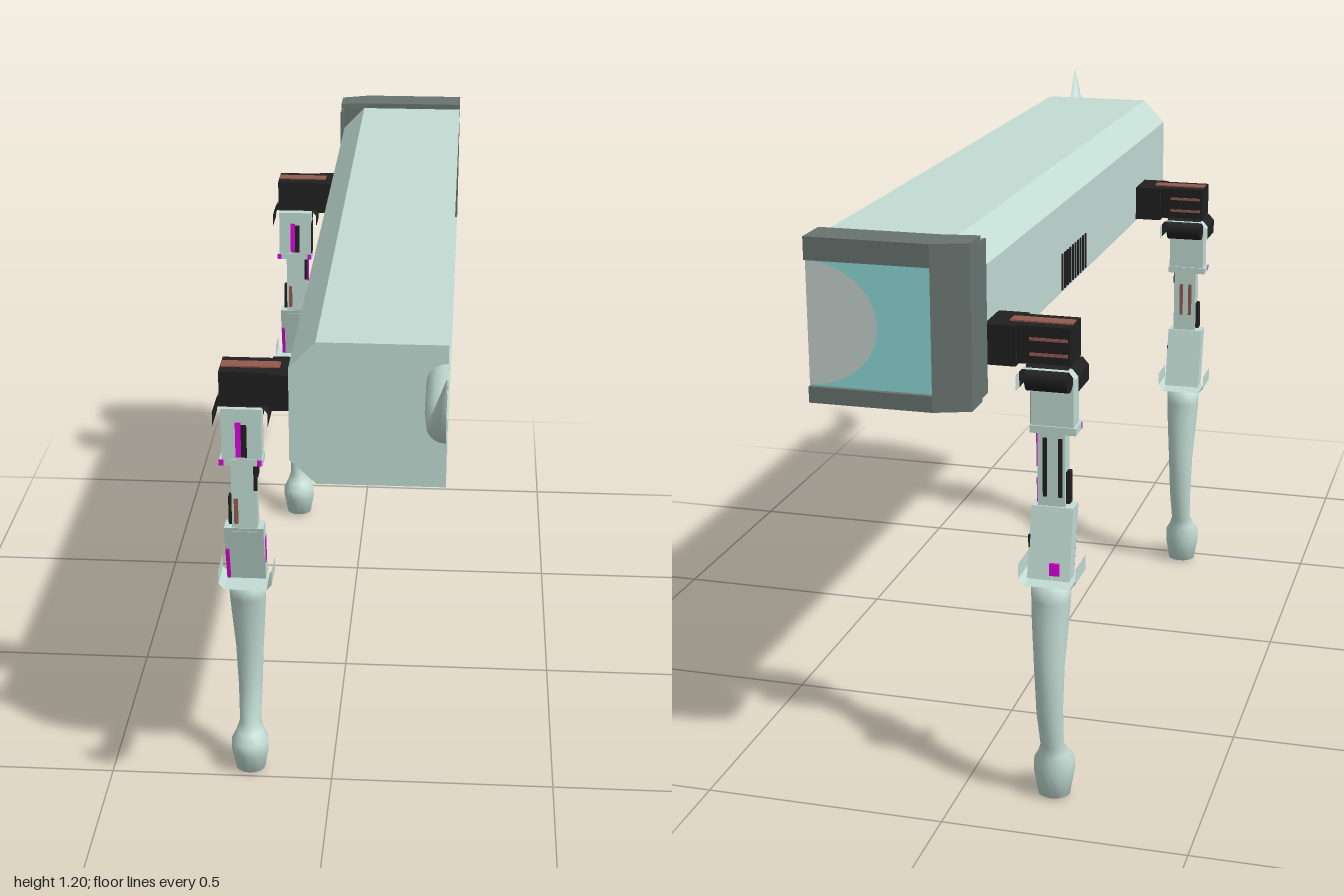
import * as THREE from 'three';

const mat = (name, color, side = THREE.FrontSide) => {
  const m = new THREE.MeshStandardMaterial({ color, side });
  m.name = name;
  return m;
};

export function createModel() {
  const paint = mat('pale green', 0xc2dcd4, THREE.DoubleSide);
  const dark = mat('dark grey', 0x68746f);
  const black = mat('black', 0x202020, THREE.DoubleSide);
  const copper = mat('copper', 0x955a4e);
  const magenta = mat('magenta', 0xe000e0);
  const teal = mat('teal', 0x8edcd9);
  const grey = mat('grey', 0xc8d4cf);

  const root = new THREE.Group();
  root.name = 'walkerHalf';

  const add = (parent, name, geo, material) => {
    const m = new THREE.Mesh(geo, material);
    m.name = name;
    parent.add(m);
    return m;
  };
  // Box given by its limits on each axis
  const box = (parent, name, material, x0, x1, y0, y1, z0, z1) => {
    const m = add(parent, name, new THREE.BoxGeometry(x1 - x0, y1 - y0, z1 - z0), material);
    m.position.set((x0 + x1) / 2, (y0 + y1) / 2, (z0 + z1) / 2);
    return m;
  };
  // Surface through equal-length rows of points
  const loft = (rows) => {
    const n = rows[0].length, index = [];
    for (let i = 0; i < rows.length - 1; i++) {
      for (let j = 0; j < n - 1; j++) {
        const a = i * n + j, b = a + n;
        index.push(a, b, a + 1, a + 1, b, b + 1);
      }
    }
    const g = new THREE.BufferGeometry();
    g.setAttribute('position', new THREE.Float32BufferAttribute(rows.flat(2), 3));
    g.setIndex(index);
    g.computeVertexNormals();
    return g;
  };
  const faceted = (rows) => {
    const g = loft(rows).toNonIndexed();
    g.computeVertexNormals();
    return g;
  };

  // Body: chamfered shell, open on its left side
  const xCut = 0.245, zFront = 0.745, zBack = -0.93;
  const outline = [[xCut, 1.165], [-0.01, 1.165], [-0.063, 1.11], [-0.063, 0.915], [-0.01, 0.865], [xCut, 0.865]];
  add(root, 'bodyShell', faceted([zBack, zFront].map((z) => outline.map(([x, y]) => [x, y, z]))), paint);
  const cap = new THREE.ShapeGeometry(new THREE.Shape(outline.map((p) => new THREE.Vector2(...p))));
  add(root, 'frontCap', cap, paint).position.z = zFront;

  // Side vents: five slats with dark edges
  for (let i = 0; i < 5; i++) {
    for (const s of [-0.011, 0.011]) {
      const z = -0.108 - i * 0.045 + s;
      box(root, 'ventEdge', black, -0.066, -0.061, 0.92, 1.0, z - 0.004, z + 0.004);
    }
  }

  // Rear collar: horizontal slabs drawn in plan as [x, -z]
  const slab = (name, plan, y0, y1) => {
    const shape = new THREE.Shape(plan.map((p) => new THREE.Vector2(...p)));
    const g = new THREE.ExtrudeGeometry(shape, { depth: y1 - y0, bevelEnabled: false });
    g.rotateX(-Math.PI / 2);
    add(root, name, g, dark).position.y = y0;
  };
  const lip = [[-0.07, 0.91], [0, 0.92], [xCut, 0.92], [xCut, 1], [0, 1], [-0.07, 0.975]];
  slab('collarTopLip', lip, 1.167, 1.18);
  slab('collarBottomLip', lip, 0.858, 0.864);
  slab('collarPost', [[-0.07, 0.875], [-0.064, 0.875], [-0.064, 0.932], [0, 0.932], [0, 1], [-0.07, 0.975]], 0.864, 1.167);
  box(root, 'collarTop', dark, 0, xCut, 1.135, 1.167, -1, -0.932);
  box(root, 'collarBottom', dark, 0, xCut, 0.864, 0.89, -1, -0.932);
  box(root, 'rearBulkhead', dark, 0, xCut, 0.89, 1.135, -0.985, -0.932);
  box(root, 'rearWindow', teal, 0, xCut, 0.89, 1.135, -0.99, -0.985);
  const disc = add(root, 'rearDisc', new THREE.CircleGeometry(0.12, 24, -Math.PI / 2, Math.PI), grey);
  disc.rotation.y = Math.PI;
  disc.scale.x = 1.15;
  disc.position.set(xCut, 1.013, -0.992);

  // Front horn: half tube, [z, y, width, half height, path angle]
  const horn = [
    [0.66, 1.1, 0.036, 0.038, 0.1], [0.745, 1.09, 0.042, 0.038, 0.1], [0.86, 1.076, 0.042, 0.035, 0],
    [0.92, 1.077, 0.038, 0.033, 0.35], [0.965, 1.108, 0.03, 0.026, 0.9], [0.984, 1.15, 0.018, 0.015, 1.3],
    [0.998, 1.2, 0.002, 0.002, 1.5],
  ];
  add(root, 'horn', loft(horn.map(([z, y, w, h, t]) => Array.from({ length: 11 }, (_, k) => {
    const a = (k / 10) * Math.PI, c = Math.cos(a) * h;
    return [xCut - Math.sin(a) * w, y + c * Math.cos(t), z - c * Math.sin(t)];
  }))), paint);
  box(root, 'hornSocket', paint, 0.21, 0.24, 1.065, 1.13, 0.658, 0.68);

  // Lower leg sections: [y, half width x, centre z, half depth z]
  const shin = [
    [0.477, 0.001, 0.447, 0.001], [0.476, 0.042, 0.447, 0.038], [0.44, 0.04, 0.444, 0.034], [0.4, 0.038, 0.438, 0.031],
    [0.3, 0.031, 0.428, 0.028], [0.2, 0.027, 0.43, 0.025], [0.12, 0.024, 0.449, 0.024],
    [0.1, 0.031, 0.458, 0.034], [0.08, 0.042, 0.466, 0.043], [0.055, 0.042, 0.466, 0.043],
    [0.004, 0.033, 0.463, 0.03], [0, 0.001, 0.463, 0.001],
  ];
  const cx = -0.1875;
  const shinGeo = loft(shin.map(([y, w, z, d]) => Array.from({ length: 17 }, (_, k) => {
    const a = (k / 16) * Math.PI * 2;
    return [cx + Math.cos(a) * w, y, z + Math.sin(a) * d];
  })));

  // Knee block, sheared backward toward the foot
  const kneeGeo = new THREE.BoxGeometry(0.085, 0.14, 0.04);
  const kp = kneeGeo.attributes.position;
  for (let i = 0; i < kp.count; i++) kp.setZ(i, kp.getZ(i) + (kp.getY(i) > 0 ? 0 : -0.035));
  kneeGeo.computeVertexNormals();

  // Thin U-shaped bracket; dir +1 opens upward, -1 downward
  const bracket = (leg, name, material, y, dir, z0, z1) => {
    const pts = [[-0.058, 0.045], [-0.058, 0.014], [-0.046, 0], [0.046, 0], [0.058, 0.014], [0.058, 0.045]];
    add(leg, name, faceted([z0, z1].map((z) => pts.map(([x, h]) => [cx + x, y + dir * h, z]))), material);
  };

  const makeLeg = (name, dz) => {
    const leg = new THREE.Group();
    leg.name = name;
    leg.position.z = dz;
    root.add(leg);

    // Shoulder arm
    box(leg, 'arm', black, -0.23, -0.1, 0.925, 1.0, 0.43, 0.512);
    box(leg, 'armRoot', black, -0.125, -0.055, 0.92, 1.0, 0.422, 0.522);
    box(leg, 'armStripe', copper, -0.228, -0.105, 0.998, 1.003, 0.455, 0.485);
    for (const y of [0.945, 0.975]) box(leg, 'armSideStripe', copper, -0.225, -0.15, y - 0.003, y + 0.003, 0.428, 0.431);
    const hub = add(leg, 'shoulderHub', new THREE.CylinderGeometry(0.027, 0.027, 0.083, 16), black);
    hub.rotation.z = Math.PI / 2;
    hub.position.set(cx, 0.9, 0.432);
    bracket(leg, 'shoulderBracket', black, 0.922, -1, 0.43, 0.512);
    bracket(leg, 'shoulderBracketTrim', paint, 0.922, -1, 0.405, 0.43);

    // Upper leg
    box(leg, 'upperLeg', paint, -0.23, -0.145, 0.79, 0.91, 0.455, 0.497);
    box(leg, 'upperRing', paint, -0.235, -0.143, 0.78, 0.795, 0.452, 0.498);
    box(leg, 'middleLeg', paint, -0.212, -0.157, 0.62, 0.79, 0.458, 0.492);
    box(leg, 'slotMark', magenta, -0.2, -0.188, 0.8, 0.88, 0.496, 0.499);
    box(leg, 'slot', black, -0.188, -0.176, 0.8, 0.875, 0.496, 0.499);
    for (const x of [-0.231, -0.15]) box(leg, 'ringMark', magenta, x - 0.005, x + 0.005, 0.781, 0.794, 0.497, 0.5);
    box(leg, 'innerRod', black, -0.164, -0.156, 0.72, 0.778, 0.488, 0.493);
    box(leg, 'frontRod', copper, -0.207, -0.198, 0.64, 0.7, 0.491, 0.494);
    box(leg, 'sideRod', black, -0.22, -0.212, 0.635, 0.7, 0.465, 0.485);

    // Knee
    add(leg, 'knee', kneeGeo, paint).position.set(cx, 0.56, 0.474);
    const kneeMark = box(leg, 'kneeFrontMark', magenta, -0.229, -0.221, 0.492, 0.575, 0.472, 0.475);
    kneeMark.rotation.x = 0.245;
    bracket(leg, 'kneeBracket', paint, 0.477, 1, 0.41, 0.49);

    // Lower leg and foot
    add(leg, 'lowerLeg', shinGeo, paint);
    return leg;
  };

  // Markings that differ between the legs
  const front = makeLeg('frontLeg', 0);
  box(front, 'innerSlot', black, -0.158, -0.154, 0.75, 0.78, 0.465, 0.488);
  box(front, 'kneeSideMark', magenta, -0.147, -0.144, 0.53, 0.59, 0.442, 0.462);
  for (const x of [-0.198, -0.176]) box(front, 'rearRod', copper, x - 0.004, x + 0.004, 0.67, 0.75, 0.455, 0.459);

  const rear = makeLeg('rearLeg', -1.295);
  box(rear, 'upperSidePlate', black, -0.146, -0.143, 0.796, 0.88, 0.46, 0.494);
  box(rear, 'middleSideMark', magenta, -0.158, -0.154, 0.71, 0.778, 0.46, 0.475);
  box(rear, 'lowerSideMark', magenta, -0.158, -0.154, 0.635, 0.685, 0.462, 0.489);
  box(rear, 'kneeSideSlot', black, -0.147, -0.144, 0.53, 0.575, 0.434, 0.444);
  box(rear, 'kneeRearMark', magenta, -0.21, -0.19, 0.5, 0.525, 0.418, 0.424);
  for (const x of [-0.203, -0.172]) box(rear, 'rearSlot', black, x - 0.004, x + 0.004, 0.65, 0.77, 0.455, 0.459);

  return root;
}
